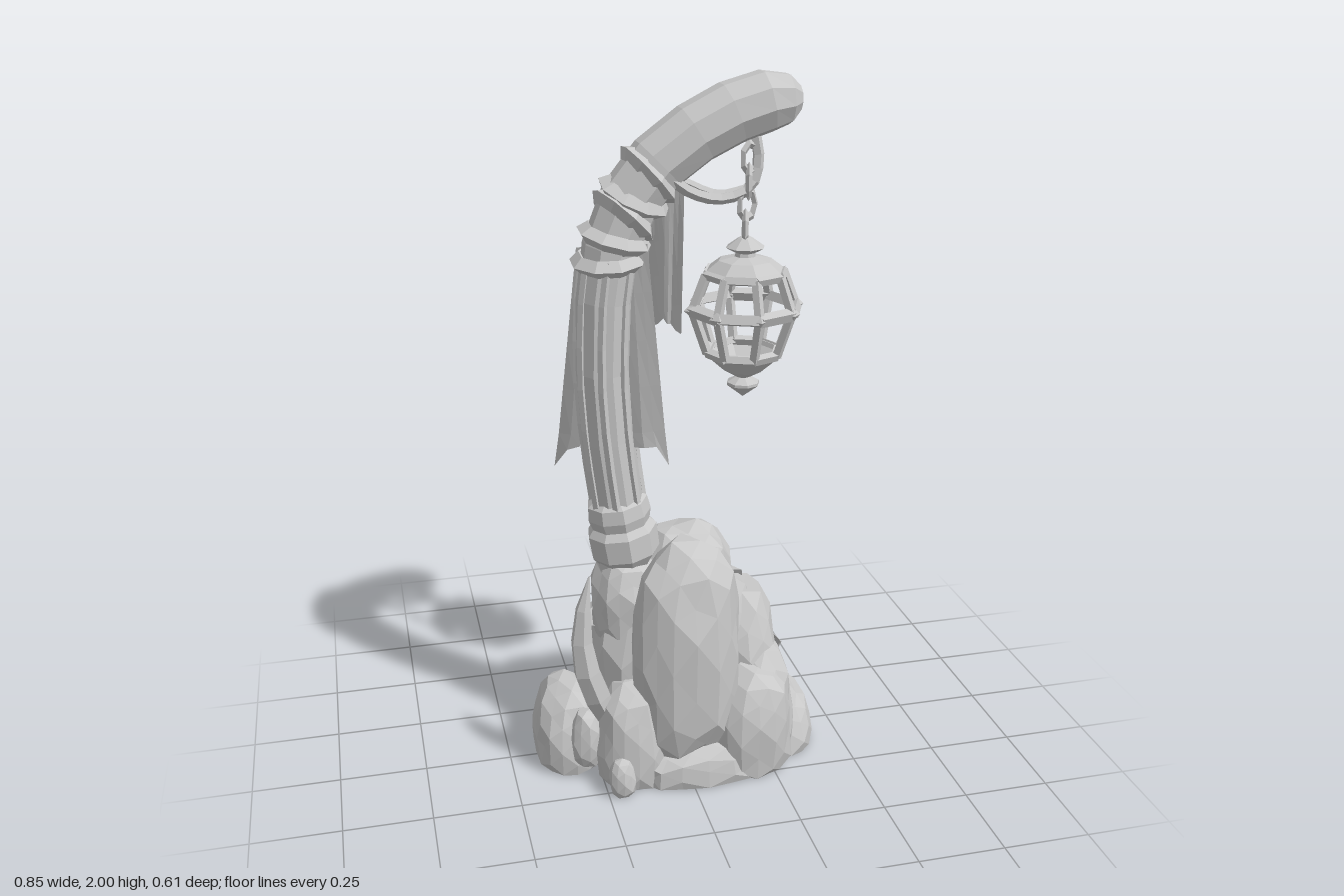
import * as THREE from 'three';

const stone = new THREE.MeshStandardMaterial({ color: 0xc8c8c8, flatShading: true, side: THREE.DoubleSide });
stone.name = 'pale grey';
const V = (x, y, z) => new THREE.Vector3(x, y, z);

function add(parent, name, geometry) {
  const mesh = new THREE.Mesh(geometry, stone);
  mesh.name = name;
  parent.add(mesh);
  return mesh;
}

// Repeatable noise from a position, so shared corners move together
function noise(x, y, z, seed) {
  const s = Math.sin(Math.round(x * 100) * 12.99 + Math.round(y * 100) * 78.23 + Math.round(z * 100) * 37.72 + seed * 9.17) * 437.58;
  return s - Math.floor(s);
}

// Faceted boulder, cut flat at the floor
function rock(parent, name, [x, y, z, rx, ry, rz], seed, floor = 0) {
  const g = new THREE.IcosahedronGeometry(1, rx * ry > 0.01 ? 2 : 1);
  const p = g.attributes.position;
  const boxy = (c) => Math.sign(c) * Math.abs(c) ** 0.85;
  for (let i = 0; i < p.count; i++) {
    const a = p.getX(i), b = p.getY(i), c = p.getZ(i);
    const k = 0.9 + 0.13 * noise(a, b, c, seed);
    p.setXYZ(i, x + boxy(a) * rx * k, Math.max(floor, y + boxy(b) * ry * k), z + boxy(c) * rz * k);
  }
  g.computeVertexNormals();
  return add(parent, name, g);
}

// Tapered limb through [x, y, z, radius] stations, bending in the xy plane
function limb(stations, sides) {
  const pos = [], index = [];
  stations.forEach(([x, y, z, r], i) => {
    const a = stations[Math.max(0, i - 1)], b = stations[Math.min(stations.length - 1, i + 1)];
    const t = V(b[0] - a[0], b[1] - a[1], 0).normalize();
    for (let j = 0; j < sides; j++) {
      const w = (j + 0.5) / sides * Math.PI * 2, n = Math.cos(w) * r;
      pos.push(x - t.y * n, y + t.x * n, z + Math.sin(w) * r);
      if (i < stations.length - 1) {
        const k = i * sides, l = (j + 1) % sides;
        index.push(k + j, k + l, k + sides + l, k + j, k + sides + l, k + sides + j);
      }
    }
  });
  const g = new THREE.BufferGeometry();
  g.setAttribute('position', new THREE.Float32BufferAttribute(pos, 3));
  g.setIndex(index);
  g.computeVertexNormals();
  return g;
}

// Straight four-sided bar between two points
function bar(parent, name, a, b, r) {
  const m = add(parent, name, new THREE.CylinderGeometry(r, r, a.distanceTo(b), 4));
  m.position.copy(a).lerp(b, 0.5);
  m.quaternion.setFromUnitVectors(V(0, 1, 0), b.clone().sub(a).normalize());
}

function tube(parent, name, points, r, segments = 14, sides = 5) {
  const curve = new THREE.CatmullRomCurve3(points.map((p) => V(...p)));
  return add(parent, name, new THREE.TubeGeometry(curve, segments, r, sides));
}

// Hanging cloth between two top and two bottom corners, with a torn hem
function cloth(parent, name, tl, tr, bl, br, tear, seed) {
  const cols = 9, rows = 5;
  const g = new THREE.PlaneGeometry(1, 1, cols, rows);
  const p = g.attributes.position;
  for (let i = 0; i < p.count; i++) {
    const u = p.getX(i) + 0.5, v = 0.5 - p.getY(i);
    const q = V(...tl).lerp(V(...tr), u).lerp(V(...bl).lerp(V(...br), u), v);
    q.z += Math.sin(u * 11 + seed) * 0.015 * v;
    if (v > 0.99) q.y += tear * (noise(u, 0, 0, seed) * 0.5 + Math.sin(u * Math.PI) * 0.8);
    p.setXYZ(i, q.x, q.y, q.z);
  }
  g.computeVertexNormals();
  add(parent, name, g);
}

export function createModel() {
  const model = new THREE.Group();
  model.name = 'lanternPost';

  // Rocky base
  const base = new THREE.Group();
  base.name = 'rockBase';
  model.add(base);
  rock(base, 'coreRock', [0.0, 0.24, 0, 0.27, 0.4, 0.2], 1, 0.05);
  const rocks = {
    frontSlab: [0.0, 0.38, 0.165, 0.165, 0.37, 0.14],
    upperBackRock: [0.05, 0.52, -0.06, 0.15, 0.18, 0.14],
    leftShoulder: [-0.14, 0.49, 0.01, 0.11, 0.17, 0.12],
    upperRearRock: [-0.08, 0.5, -0.12, 0.1, 0.16, 0.09],
    rightShoulder: [0.19, 0.26, 0.0, 0.13, 0.27, 0.18],
    frontRightRock: [0.19, 0.12, 0.18, 0.13, 0.22, 0.12],
    rightBoulder: [0.24, 0.15, 0.1, 0.1, 0.22, 0.15],
    farRightRock: [0.32, 0.04, 0.02, 0.105, 0.13, 0.18],
    leftBoulder: [-0.32, 0.08, 0, 0.11, 0.17, 0.16],
    backBoulder: [-0.1, 0.13, -0.17, 0.18, 0.24, 0.135],
    backRightRock: [0.15, 0.12, -0.13, 0.15, 0.2, 0.12],
    backPebble: [0.05, 0.05, -0.24, 0.08, 0.1, 0.06],
    frontLeftRock: [-0.16, 0.1, 0.17, 0.11, 0.22, 0.1],
    frontLeftPebble: [-0.21, 0.05, 0.26, 0.04, 0.07, 0.04],
    hornFootRock: [-0.29, 0.13, 0.15, 0.05, 0.1, 0.05],
    frontSkirt: [0.04, 0.03, 0.19, 0.2, 0.1, 0.11],
  };
  Object.entries(rocks).forEach(([name, r], i) => rock(base, name, r, i + 2));

  // Roots wound over the rocks
  tube(base, 'backRoot', [[-0.25, 0.45, 0.02], [-0.18, 0.4, -0.16], [-0.03, 0.42, -0.22], [0.13, 0.48, -0.19], [0.21, 0.5, -0.04]], 0.028);
  tube(base, 'sideRoot', [[0.27, 0.36, 0.13], [0.31, 0.28, 0.0], [0.28, 0.16, -0.14], [0.18, 0.06, -0.24], [0.08, 0.03, -0.27]], 0.028);

  // Curved horn standing beside the slab
  add(base, 'horn', limb([
    [-0.23, 0.2, 0.15, 0.035], [-0.26, 0.27, 0.16, 0.042], [-0.29, 0.36, 0.17, 0.04],
    [-0.303, 0.46, 0.17, 0.032], [-0.297, 0.56, 0.17, 0.022], [-0.278, 0.66, 0.17, 0.002]], 6));

  // Bent post with a rounded tip
  add(model, 'post', limb([
    [-0.14, 0.55, 0, 0.08], [-0.16, 0.8, 0, 0.076], [-0.185, 1.0, 0, 0.076], [-0.197, 1.2, 0, 0.076],
    [-0.19, 1.4, 0, 0.078], [-0.17, 1.54, 0, 0.08], [-0.115, 1.67, 0, 0.084], [-0.04, 1.765, 0.005, 0.085],
    [0.06, 1.84, 0.01, 0.085], [0.16, 1.89, 0.01, 0.086], [0.255, 1.918, 0.01, 0.084],
    [0.315, 1.922, 0.01, 0.068], [0.345, 1.922, 0.01, 0.035], [0.352, 1.922, 0.01, 0.001]], 9));

  // Raised strips along the shaft
  for (let i = 0; i < 7; i++) {
    const w = i / 7 * Math.PI * 2, c = Math.cos(w) * 0.073, s = Math.sin(w) * 0.073;
    tube(model, 'shaftStrip', [[-0.16 + c, 0.8, s], [-0.185 + c, 1, s], [-0.197 + c, 1.2, s], [-0.19 + c, 1.4, s], [-0.175 + c, 1.52, s]], 0.012, 6, 4);
  }

  // Collar at the foot and wrapped bands at the bend
  const collar = add(model, 'footCollar', new THREE.LatheGeometry(
    [[0.07, -0.12], [0.1, -0.08], [0.102, -0.01], [0.085, 0.01], [0.093, 0.04], [0.088, 0.08], [0.06, 0.1]].map((p) => new THREE.Vector2(...p)), 9));
  collar.position.set(-0.152, 0.73, 0);
  collar.rotation.z = 0.15;
  [[-0.178, 1.51, 0.05, 0.12], [-0.16, 1.57, -0.25, 0.1], [-0.135, 1.63, -0.75, -0.2], [-0.105, 1.68, -0.4, 0.25], [-0.065, 1.735, -0.85, -0.1]]
    .forEach(([x, y, lean, twist]) => {
      const band = add(model, 'wrapBand', new THREE.TorusGeometry(0.08, 0.025, 4, 9).rotateX(Math.PI / 2));
      band.position.set(x, y, 0);
      band.rotation.set(twist, 0, lean);
    });

  // Torn cloths
  cloth(model, 'upperCloth', [0.035, 1.8, 0.0], [-0.07, 1.7, -0.07], [0.02, 1.27, 0.02], [-0.06, 1.22, -0.15], 0.06, 3);
  cloth(model, 'lowerCloth', [-0.08, 1.56, 0.05], [-0.25, 1.53, -0.08], [-0.03, 0.91, 0.1], [-0.315, 0.83, -0.16], 0.12, 5);

  // Sagging cord and chain links
  tube(model, 'cord', [[-0.03, 1.74, 0.06], [0.04, 1.69, 0.04], [0.13, 1.665, 0.02], [0.21, 1.69, 0.015], [0.235, 1.76, 0.01], [0.22, 1.85, 0.01]], 0.016, 12, 5);
  tube(model, 'backCord', [[-0.03, 1.74, -0.06], [0.05, 1.7, -0.04], [0.13, 1.672, 0.0], [0.21, 1.69, 0.015]], 0.013, 8, 5);
  for (let i = 0; i < 4; i++) {
    const link = add(model, 'chainLink', new THREE.TorusGeometry(0.025, 0.009, 4, 7).scale(1, 1.6, 1));
    link.position.set(0.212 - i * 0.004, 1.77 - i * 0.062, 0.015);
    link.rotation.y = i % 2 ? 1.3 : 0.25;
  }

  // Caged lantern
  const lantern = new THREE.Group();
  lantern.name = 'lantern';
  lantern.position.set(0.2, 0, 0.02);
  model.add(lantern);
  const lathe = (name, pts) => add(lantern, name, new THREE.LatheGeometry(pts.map((p) => new THREE.Vector2(...p)), 8));
  lathe('lanternCap', [[0.095, 1.45], [0.118, 1.462], [0.075, 1.495], [0.03, 1.505], [0.028, 1.515], [0.055, 1.53], [0.02, 1.555], [0, 1.565]]);
  lathe('lanternBottom', [[0, 1.1], [0.047, 1.137], [0.047, 1.145], [0.02, 1.16], [0.055, 1.18], [0.105, 1.225], [0.108, 1.24], [0.09, 1.245]]);
  const levels = [[0.105, 1.235, 0.014], [0.148, 1.36, 0.019], [0.11, 1.458, 0.014]];
  const corner = (level, i) => {
    const w = i / 8 * Math.PI * 2;
    return V(Math.sin(w) * levels[level][0], levels[level][1], Math.cos(w) * levels[level][0]);
  };
  for (let i = 0; i < 8; i++) {
    levels.forEach((l, k) => bar(lantern, 'cageRing', corner(k, i), corner(k, i + 1), l[2]));
    bar(lantern, 'lowerCageBar', corner(0, i), corner(1, i), 0.014);
    bar(lantern, 'upperCageBar', corner(1, i), corner(2, i), 0.014);
    const stud = add(lantern, 'cageStud', new THREE.OctahedronGeometry(0.024));
    stud.position.copy(corner(1, i));
  }
  return model;
}
